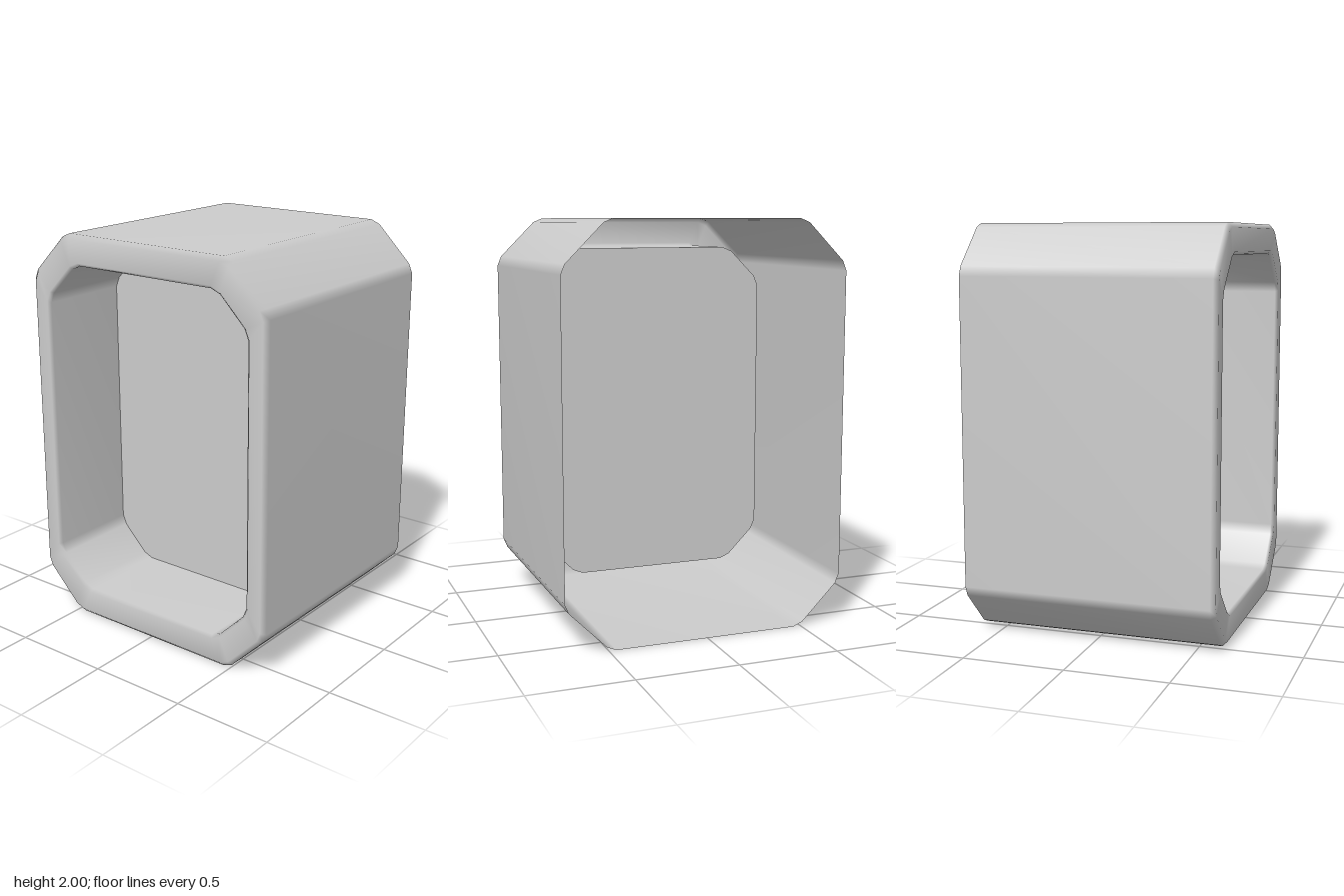
import * as THREE from 'three';

const CENTRE_Y = 1;

// Chamfered rectangle, counterclockwise, with each chamfer corner eased by r
function outline(hw, hh, c, r) {
  const k = r * 0.7;
  const quarter = [
    [hw, hh - c - r],
    [hw - k, hh - c + k],
    [hw - c + k, hh - k],
    [hw - c - r, hh],
  ];
  const mirrored = (sx, sy) => quarter.map(([x, y]) => [x * sx, y * sy]);
  return [
    ...mirrored(1, 1),
    ...mirrored(-1, 1).reverse(),
    ...mirrored(-1, -1),
    ...mirrored(1, -1).reverse(),
  ];
}

// Joins closed outlines, each at its own depth, into one smooth skin
function loft(sections) {
  const n = sections[0].points.length;
  const positions = [];
  const index = [];
  sections.forEach(({ points, z }) => points.forEach(([x, y]) => positions.push(x, y + CENTRE_Y, z)));
  for (let s = 0; s < sections.length - 1; s++) {
    for (let i = 0; i < n; i++) {
      const j = (i + 1) % n;
      const a = s * n + i, b = s * n + j, c = b + n, d = a + n;
      index.push(a, b, c, a, c, d);
    }
  }
  const geometry = new THREE.BufferGeometry();
  geometry.setAttribute('position', new THREE.Float32BufferAttribute(positions, 3));
  geometry.setIndex(index);
  geometry.computeVertexNormals();
  return geometry;
}

export function createModel() {
  const group = new THREE.Group();
  group.name = 'casing';
  const grey = new THREE.MeshStandardMaterial({ color: 0xcccccc, side: THREE.DoubleSide });
  grey.name = 'light grey';

  const outer = (inset) => outline(0.71 - inset, 1 - inset, 0.22 - inset * 0.59, 0.028);
  const inner = (inset) => outline(0.6 - inset, 0.85 - inset, 0.175 - inset * 0.59, 0.03);
  const plateZ = 0.14;

  // Open-backed shell, bevelled front rim and the recess behind the opening
  const shell = new THREE.Mesh(loft([
    { points: outer(0), z: -0.625 },
    { points: outer(0), z: 0.603 },
    { points: outer(0.022), z: 0.625 },
    { points: inner(-0.015), z: 0.625 },
    { points: inner(0), z: 0.61 },
    { points: inner(0), z: plateZ },
  ]), grey);
  shell.name = 'shell';
  group.add(shell);

  // Flat panel closing the recess
  const shape = new THREE.Shape(inner(0).map(([x, y]) => new THREE.Vector2(x, y)));
  const panel = new THREE.Mesh(new THREE.ShapeGeometry(shape), grey);
  panel.name = 'recessPanel';
  panel.position.set(0, CENTRE_Y, plateZ);
  group.add(panel);

  return group;
}
